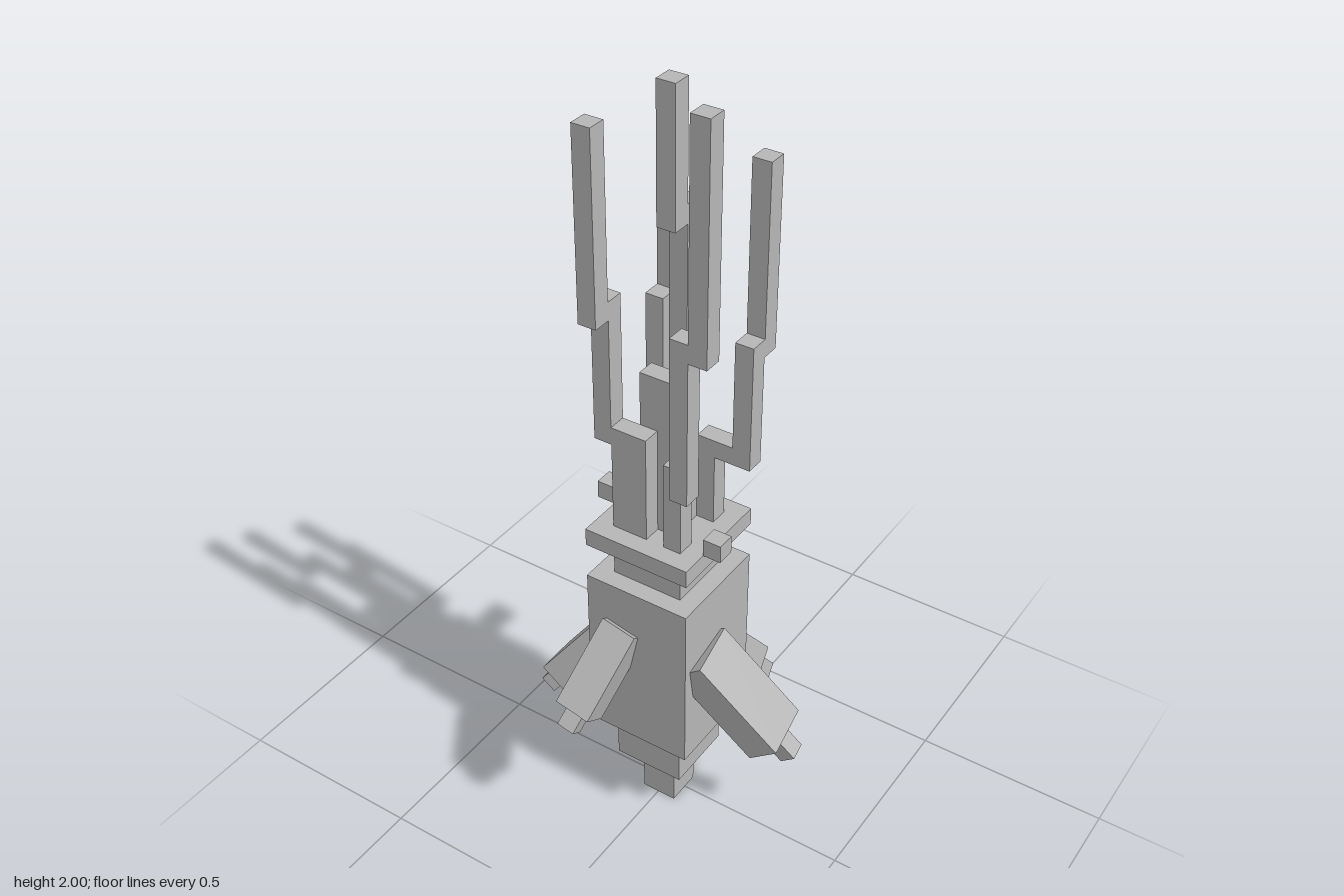
import * as THREE from 'three';

const U = 2 / 43;             // one block unit
const CX = 0.002, CZ = 0.006; // axis of the root

export function createModel() {
  const model = new THREE.Group();
  const grey = new THREE.MeshStandardMaterial({ color: 0xb6b6b6 });
  grey.name = 'plainGrey';

  // Box between two corners given in block units
  function block(parent, name, x0, x1, y0, y1, z0, z1) {
    const mesh = new THREE.Mesh(
      new THREE.BoxGeometry((x1 - x0) * U, (y1 - y0) * U, (z1 - z0) * U), grey);
    mesh.position.set((x0 + x1) / 2 * U, (y0 + y1) / 2 * U, (z0 + z1) / 2 * U);
    mesh.name = name;
    parent.add(mesh);
    return mesh;
  }

  const plant = new THREE.Group();
  plant.name = 'plant';
  plant.position.set(CX, 0, CZ);
  model.add(plant);

  // Stacked root, from the tip to the collar: half width, bottom, top
  [
    ['rootTip', 1, 0, 3],
    ['lowerRoot', 2, 3, 6],
    ['rootBody', 3, 6, 16],
    ['neck', 2, 16, 18],
    ['collar', 3, 18, 19],
  ].forEach(([name, r, y0, y1]) => block(plant, name, -r, r, y0, y1, -r, r));

  // Small shoots lying on the collar
  block(plant, 'leftShoot', 3, 4, 19, 20, 0.5, 1.5);
  block(plant, 'rightShoot', -4, -2, 19, 20, -0.5, 0.5);
  block(plant, 'backShoot', -1, 0, 19, 20, -5, -3);

  // Front right leaf
  block(plant, 'frontRightStem', -2, 0, 19, 25, 1, 2);
  block(plant, 'frontRightStalk', -3, -2, 24, 32, 1, 2);
  block(plant, 'frontRightLeaf', -3, -2, 31, 41, 2, 3);

  // Front left leaf
  block(plant, 'frontLeftStem', 1, 2, 19, 24, 1, 2);
  block(plant, 'frontLeftStalk', 2, 3, 23, 32, 2, 3);
  block(plant, 'frontLeftLeaf', 3, 4, 31, 43, 2, 3);

  // Centre leaf
  block(plant, 'centreStem', -1, 1, 19, 28, 0, 1);
  block(plant, 'centreStalk', 0, 1, 19, 37, -1, 0);
  block(plant, 'centreLeaf', 0, 1, 36, 43, 0, 1);

  // Back left leaf
  block(plant, 'backLeftStem', 1, 2, 19, 24, -2, -1);
  block(plant, 'backLeftBranch', 2, 3, 23, 24, -2, -1);
  block(plant, 'backLeftStalk', 3, 4, 23, 30, -2, -1);
  block(plant, 'backLeftLeaf', 3, 4, 29, 39, -3, -2);

  // Back right leaf
  block(plant, 'backRightStem', -1, 0, 19, 24, -2, -1);
  block(plant, 'backRightStalk', -2, -1, 23, 31, -2, -1);
  block(plant, 'backRightLeaf', -2, -1, 30, 38, -3, -2);

  // Side roots: pivot at the outer lower edge, hanging down then swung outwards.
  // sx, sz give the outward direction; rx, rz are degrees.
  const rad = THREE.MathUtils.degToRad;
  [
    { name: 'leftSideRoot', at: [0.342, 0.365, -0.004], rx: 12, rz: 38.5, sx: 1, sz: 0, len: 6.4, tip: 1.5 },
    { name: 'rightSideRoot', at: [-0.349, 0.278, 0.0156], rx: -13.5, rz: -36.5, sx: -1, sz: 0, len: 6.7, tip: 1.5 },
    { name: 'frontSideRoot', at: [-0.075, 0.462, 0.309], rx: -38, rz: -12.5, sx: 0, sz: 1, len: 5, tip: 1.1 },
    { name: 'backSideRoot', at: [0.076, 0.305, -0.2835], rx: 38, rz: 13.5, sx: 0, sz: -1, len: 5, tip: 1.9 },
  ].forEach(({ name, at, rx, rz, sx, sz, len, tip }) => {
    const root = new THREE.Group();
    root.name = name;
    root.position.set(...at);
    root.rotation.set(rad(rx), 0, rad(rz), 'ZYX');
    const hw = 1, hd = sx ? 1.5 : 1; // half width and half depth
    block(root, name + 'Limb', -sx - hw, -sx + hw, 0, len, -sz - hd, -sz + hd);
    block(root, name + 'Tip', -sx - 0.5, -sx + 0.5, -tip, 0, -sz - 0.5, -sz + 0.5);
    model.add(root);
  });

  return model;
}
